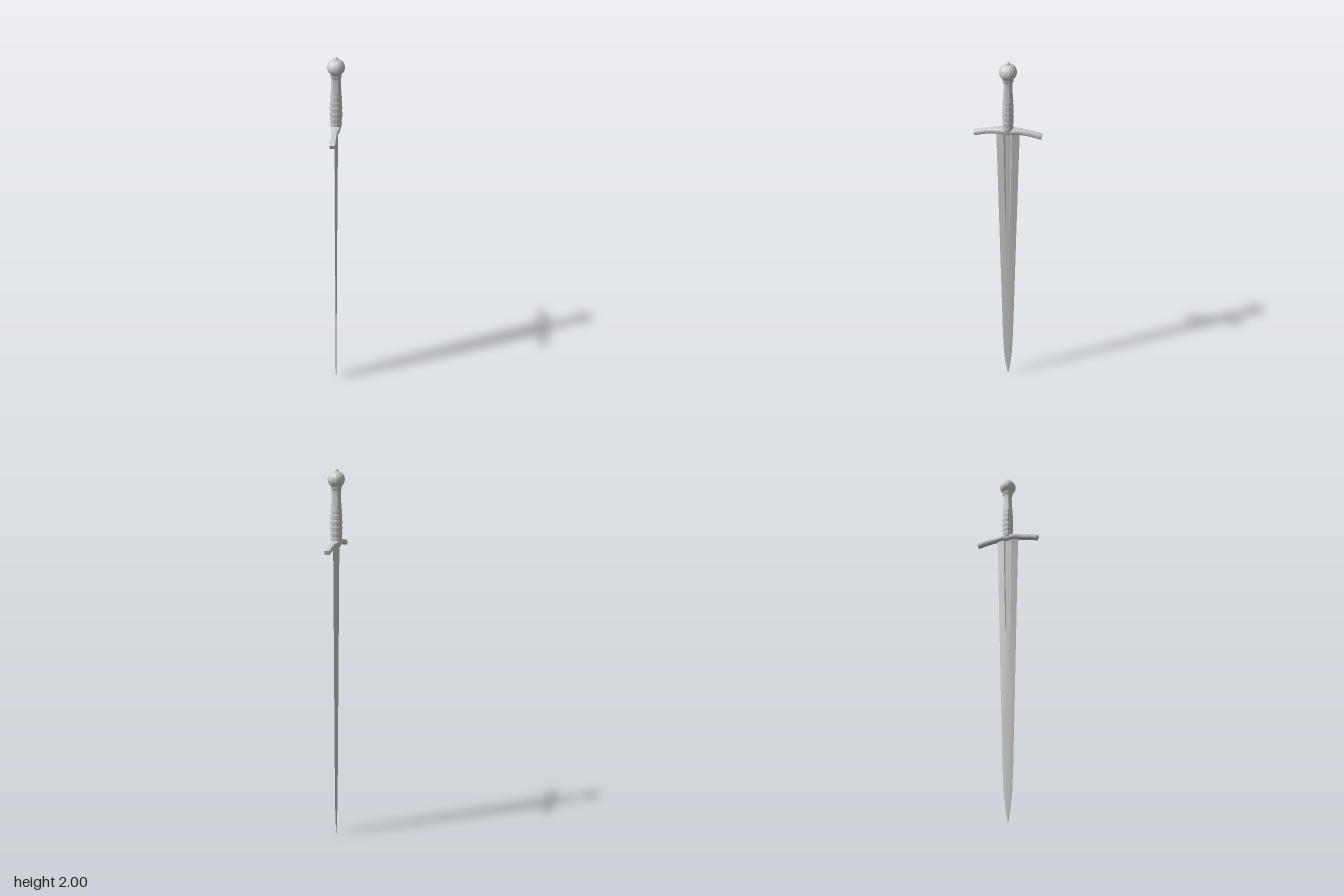
import * as THREE from 'three';
import { mergeVertices, toCreasedNormals } from 'three/addons/utils/BufferGeometryUtils.js';

const material = new THREE.MeshStandardMaterial({ color: 0xcccccc });

// Skins a list of equal-sized rings and closes both ends with fans.
function loft(rings, crease) {
  const n = rings[0].length;
  const points = rings.flat();
  const index = [];
  for (let i = 0; i < rings.length - 1; i++) {
    for (let j = 0; j < n; j++) {
      const k = (j + 1) % n;
      const a = i * n + j, b = i * n + k, c = a + n, d = b + n;
      index.push(a, b, d, a, d, c);
    }
  }
  for (const [ring, end] of [[0, false], [rings.length - 1, true]]) {
    const centre = points.length;
    const mid = new THREE.Vector3();
    rings[ring].forEach((p) => mid.addScaledVector(p, 1 / n));
    points.push(mid);
    for (let j = 0; j < n; j++) {
      const a = ring * n + j, b = ring * n + (j + 1) % n;
      index.push(centre, end ? a : b, end ? b : a);
    }
  }
  const geometry = new THREE.BufferGeometry().setFromPoints(points);
  geometry.setIndex(index);
  return toCreasedNormals(geometry, crease);
}

function lathe(profile, segments = 40) {
  const geometry = new THREE.LatheGeometry(profile.map(([r, y]) => new THREE.Vector2(r, y)), segments);
  geometry.deleteAttribute('uv');
  geometry.deleteAttribute('normal');
  return toCreasedNormals(mergeVertices(geometry, 1e-5), 0.7);
}

// Tapered double-edged blade with a shallow fuller on each face.
function bladeGeometry() {
  // y, half width, half thickness, fuller half width, fuller depth
  const stations = [
    [0, 0.001, 0.0005, 0.0003, 0],
    [0.03, 0.007, 0.0015, 0.002, 0],
    [0.08, 0.015, 0.002, 0.003, 0],
    [0.16, 0.023, 0.0025, 0.004, 0],
    [0.28, 0.028, 0.003, 0.004, 0],
    [0.6, 0.036, 0.004, 0.006, 0],
    [1.0, 0.045, 0.0055, 0.009, 0],
    [1.12, 0.048, 0.006, 0.011, 0.002],
    [1.35, 0.053, 0.007, 0.014, 0.003],
    [1.62, 0.06, 0.009, 0.017, 0.004],
  ];
  const rings = stations.map(([y, w, t, f, d]) => {
    const half = [[0, w], [t, f * 1.25], [t - d, f * 0.8], [t - d * 0.9, 0],
      [t - d, -f * 0.8], [t, -f * 1.25]];
    const other = half.map(([x, z]) => [-x, -z]);
    return [...half, ...other].map(([x, z]) => new THREE.Vector3(x, y, z));
  });
  return loft(rings, 0.25);
}

// Bowed crossguard: rounded rectangular sections swept along z.
function guardGeometry() {
  const rings = [];
  const reach = 0.172, steps = 48;
  for (let i = 0; i <= steps; i++) {
    const u = (i / steps) * 2 - 1;
    const a = Math.abs(u);
    const boss = 1 - THREE.MathUtils.smoothstep(a, 0.14, 0.5);
    const y = 1.619 - 0.024 * a ** 2.2;
    const slope = Math.atan(-Math.sign(u) * 0.024 * 2.2 * a ** 1.2 / reach);
    const cap = i === 0 || i === steps ? 0.88 : 1;
    const hx = (0.0155 + 0.0075 * boss) * cap;
    const hy = (0.0125 + 0.001 * boss) * cap;
    const dip = 0.006 * Math.exp(-((a / 0.1) ** 2));
    const ring = [];
    for (let j = 0; j < 20; j++) {
      const t = (j / 20) * Math.PI * 2;
      const c = Math.cos(t), s = Math.sin(t);
      const x = hx * Math.sign(c) * Math.abs(c) ** 0.4;
      const v = hy * Math.sign(s) * Math.abs(s) ** 0.4 - (s < -0.1 ? dip : 0);
      ring.push(new THREE.Vector3(x, y + v * Math.cos(slope), u * reach - v * Math.sin(slope)));
    }
    rings.push(ring);
  }
  return loft(rings, 0.7);
}

// Oval grip that swells at the lower half, with soft ridges there.
function gripGeometry() {
  const swell = new THREE.CatmullRomCurve3([
    [0.026, 1.62], [0.0285, 1.67], [0.029, 1.72], [0.027, 1.78],
    [0.0235, 1.84], [0.0225, 1.88], [0.025, 1.91],
  ].map(([r, y]) => new THREE.Vector3(r, y, 0)));
  const rings = swell.getPoints(90).map(({ x: r, y }) => {
    const fade = 1 - THREE.MathUtils.smoothstep(y, 1.76, 1.82);
    const radius = r + 0.001 * fade * Math.sin((y - 1.63) * Math.PI * 2 / 0.03);
    return Array.from({ length: 32 }, (_, j) => {
      const t = (j / 32) * Math.PI * 2;
      return new THREE.Vector3(radius * 1.06 * Math.sin(t), y, radius * 0.97 * Math.cos(t));
    });
  });
  return loft(rings, 0.8);
}

// Globe pommel with a short neck below it.
function pommelGeometry() {
  const profile = [[0, 1.89], [0.024, 1.892], [0.0275, 1.897], [0.0275, 1.905]];
  for (let i = 0; i <= 20; i++) {
    const t = -0.86 + (i / 20) * (Math.PI / 2 + 0.86);
    profile.push([i === 20 ? 0 : 0.044 * Math.cos(t), 1.946 + 0.043 * Math.sin(t)]);
  }
  return lathe(profile);
}

// Small peened button on top of the pommel.
function buttonGeometry() {
  return lathe([[0, 1.98], [0.012, 1.985], [0.0105, 1.99], [0.01, 1.994],
    [0.0075, 1.998], [0.004, 1.9995], [0, 2]], 24);
}

export function createModel() {
  const sword = new THREE.Group();
  sword.name = 'sword';
  const parts = {
    blade: bladeGeometry(),
    crossguard: guardGeometry(),
    grip: gripGeometry(),
    pommel: pommelGeometry(),
    pommelButton: buttonGeometry(),
  };
  for (const [name, geometry] of Object.entries(parts)) {
    const mesh = new THREE.Mesh(geometry, material);
    mesh.name = name;
    sword.add(mesh);
  }
  return sword;
}
